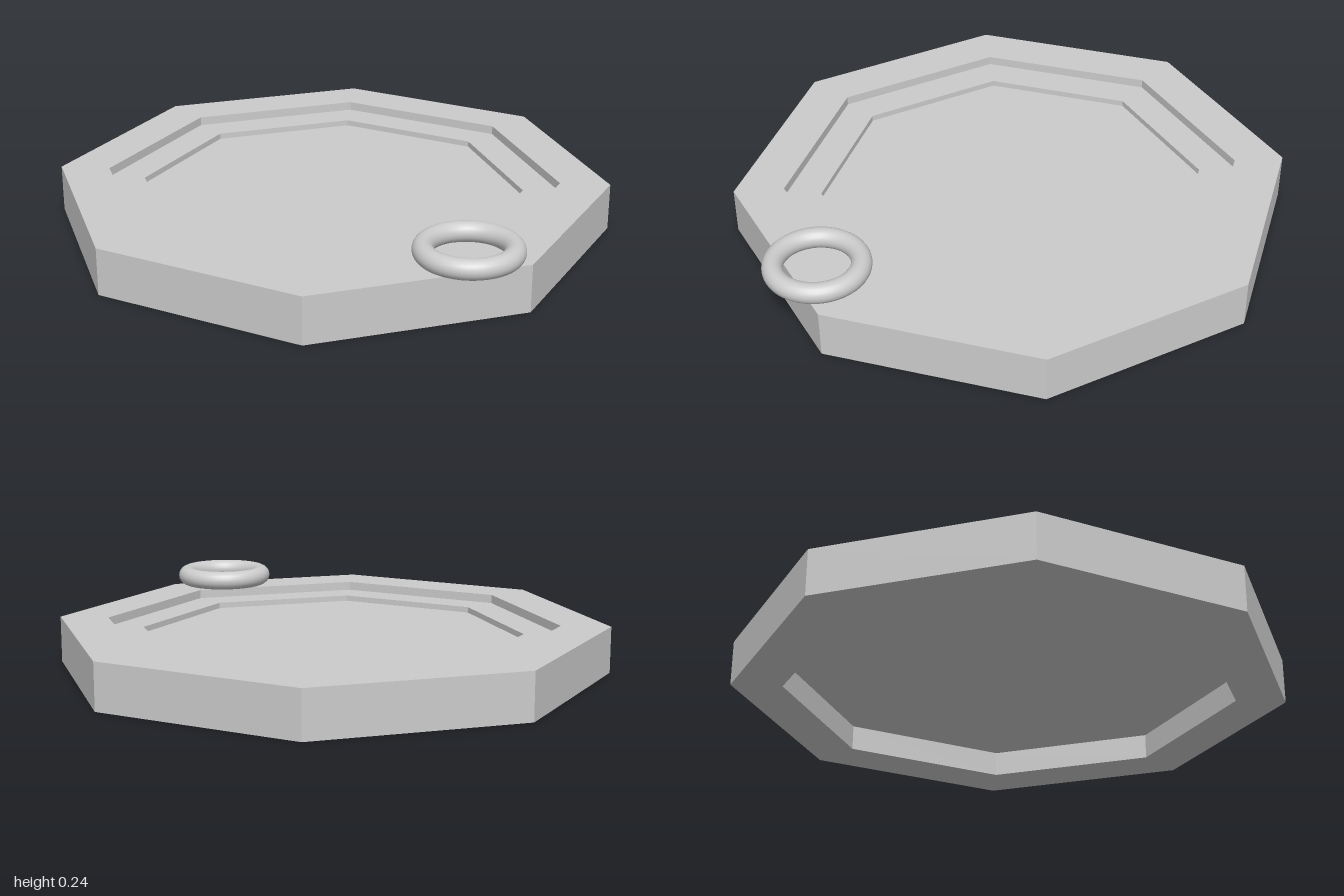
import * as THREE from 'three';

export function createModel() {
  const group = new THREE.Group();

  // Octagonal plate: cross-section from the underside recess, round the rim, to the stepped top
  const profile = [
    [0, 0.093], [0.8, 0.093], [0.8, 0], [0.98, 0], [0.98, 0.165],
    [0.805, 0.165], [0.805, 0.133], [0.677, 0.133], [0.677, 0.112], [0, 0.112],
  ].map(([r, y]) => new THREE.Vector2(r, y));
  const plate = new THREE.Mesh(
    new THREE.LatheGeometry(profile, 8),
    new THREE.MeshStandardMaterial({ color: 0xcccccc, flatShading: true }),
  );
  plate.name = 'octagonalPlate';
  plate.position.x = -0.02;
  group.add(plate);

  // Smooth ring lying just above the rim
  const ring = new THREE.Mesh(
    new THREE.TorusGeometry(0.145, 0.035, 20, 48),
    new THREE.MeshStandardMaterial({ color: 0xcccccc }),
  );
  ring.name = 'hangingRing';
  ring.rotation.x = -Math.PI / 2;
  ring.position.set(0.817, 0.208, 0.14);
  group.add(ring);

  return group;
}
